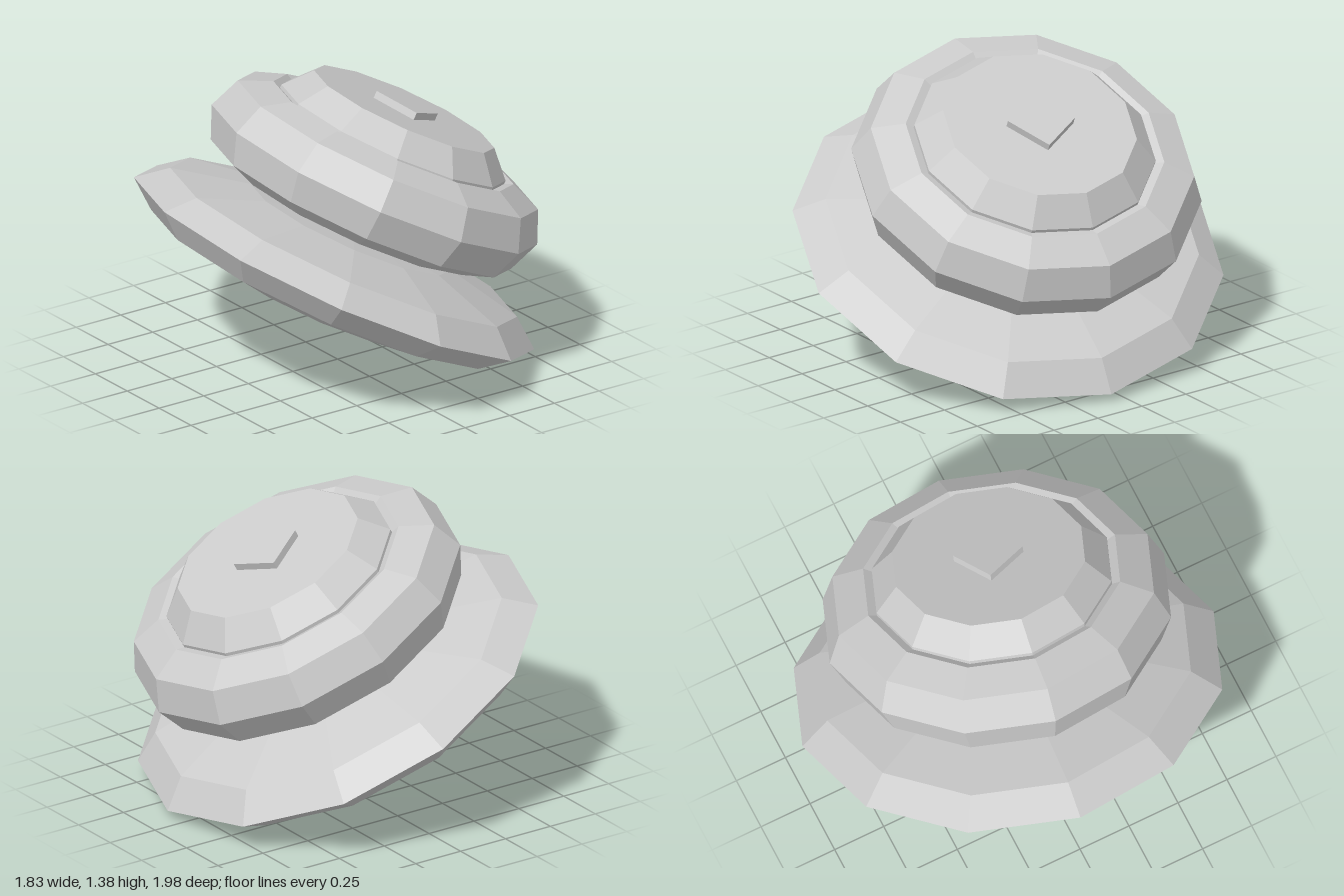
import * as THREE from 'three';

const SIDES = 12;
const material = new THREE.MeshStandardMaterial({ color: 0xcccccc, flatShading: true });

function addPart(parent, name, geometry, height = 0) {
  const mesh = new THREE.Mesh(geometry, material);
  mesh.name = name;
  mesh.position.y = height;
  parent.add(mesh);
  return mesh;
}

export function createModel() {
  const model = new THREE.Group();
  model.name = 'tiltedSaucer';

  // All parts share one leaning axis
  const stack = new THREE.Group();
  stack.name = 'saucerStack';
  const up = new THREE.Vector3(0.4345, 0.896, 0.093).normalize();
  const front = new THREE.Vector3(0.9, -0.445, 0.08).cross(up).normalize();
  const side = new THREE.Vector3().crossVectors(up, front);
  stack.setRotationFromMatrix(new THREE.Matrix4().makeBasis(side, up, front));
  stack.position.set(-0.02, 0.48, 0);
  model.add(stack);

  // Wide flattened disc at the bottom
  addPart(stack, 'lowerDisc', new THREE.SphereGeometry(1, SIDES, 6).scale(1, 0.214, 1));

  // Fat ring above it
  addPart(stack, 'upperRing',
    new THREE.TorusGeometry(0.6, 0.213, 8, SIDES).rotateX(Math.PI / 2), 0.452);

  // Bevelled cap seated in the ring, closed top and bottom
  const capProfile = [[0, 0.45], [0.56, 0.45], [0.56, 0.665], [0.45, 0.785], [0, 0.785]]
    .map(([r, h]) => new THREE.Vector2(r, h));
  addPart(stack, 'cap', new THREE.LatheGeometry(capProfile, SIDES));

  // Small square plate on the cap
  const plate = addPart(stack, 'topPlate', new THREE.BoxGeometry(0.226, 0.06, 0.226), 0.79);
  plate.rotation.y = Math.PI / 6;

  return model;
}
